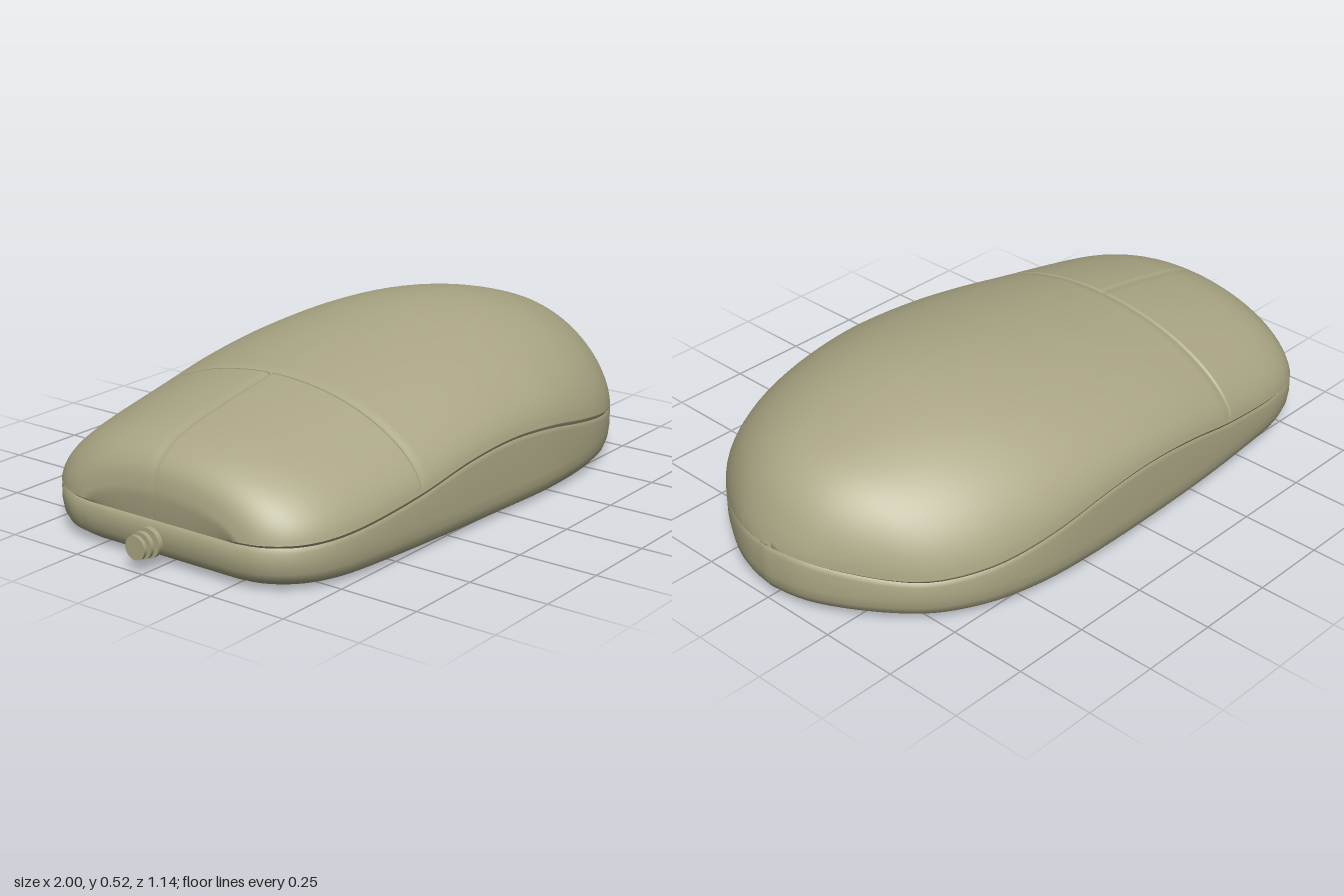
import * as THREE from 'three';
import { mergeVertices } from 'three/addons/utils/BufferGeometryUtils.js';

const FRONT = -0.93, BACK = 1, MID = 0.035, INSET = 0.988;

// Smooth curve through [x, value] pairs
const sample = (pts, n) => new THREE.CatmullRomCurve3(
  pts.map(([x, v]) => new THREE.Vector3(x, v, 0)), false, 'centripetal').getPoints(n);

// Value of a sampled curve at a given x
function lookup(pts) {
  const s = sample(pts, 400);
  return (x) => {
    if (x <= s[0].x) return s[0].y;
    for (let i = 1; i < s.length; i++) {
      if (s[i].x >= x) {
        const t = (x - s[i - 1].x) / Math.max(1e-6, s[i].x - s[i - 1].x);
        return s[i - 1].y + (s[i].y - s[i - 1].y) * t;
      }
    }
    return s[s.length - 1].y;
  };
}

// Skin a grid of rows of [x, y, z] points
function skin(rows) {
  const n = rows[0].length, index = [];
  for (let i = 0; i < rows.length - 1; i++) {
    for (let j = 0; j < n - 1; j++) {
      const a = i * n + j, b = a + 1, c = a + n, d = c + 1;
      index.push(a, b, c, b, d, c);
    }
  }
  let g = new THREE.BufferGeometry();
  g.setAttribute('position', new THREE.Float32BufferAttribute(rows.flat(2), 3));
  g.setIndex(index);
  g = mergeVertices(g, 1e-5);
  g.computeVertexNormals();
  return g;
}

// Plan outline on each side, top profile and height of the seam
const tail = [[0.63, 0.51], [0.77, 0.43], [0.87, 0.32], [0.95, 0.19], [0.985, 0.1], [BACK, 0]];
const leftSide = [[FRONT, 0.27], [-0.915, 0.34], [-0.88, 0.4], [-0.83, 0.445], [-0.74, 0.485],
  [-0.5, 0.52], [0, 0.557], [0.25, 0.568], [0.48, 0.55], ...tail];
const rightSide = [[FRONT, 0.27], [-0.915, 0.35], [-0.88, 0.415], [-0.81, 0.485], [-0.7, 0.525],
  [-0.5, 0.55], [-0.2, 0.57], [0.3, 0.572], [0.48, 0.552], ...tail];
const topProfile = [[FRONT, 0.13], [-0.928, 0.21], [-0.915, 0.275], [-0.88, 0.32], [-0.8, 0.36],
  [-0.6, 0.405], [-0.4, 0.438], [0, 0.496], [0.3, 0.519], [0.5, 0.507], [0.7, 0.463],
  [0.85, 0.405], [0.93, 0.335], [0.98, 0.24], [BACK, 0.175]];
const seamLine = [[FRONT, 0.13], [-0.8, 0.132], [-0.6, 0.147], [-0.4, 0.175], [-0.2, 0.213],
  [0, 0.23], [0.2, 0.218], [0.4, 0.184], [0.6, 0.152], [0.8, 0.14], [0.93, 0.16], [BACK, 0.175]];

const seam = lookup(seamLine);
const inset = (x, z, k) => [MID + (x - MID) * k, z * k];

// Domed upper shell with grooves between palm rest and buttons
function upperShell() {
  const top = lookup(topProfile), wl = lookup(leftSide), wr = lookup(rightSide);
  const xs = [-0.418, -0.408, -0.398];
  const N = 72, M = 26, GX = -0.408, GZ = 0.02;
  for (let i = 0; i <= N; i++) xs.push(MID - (BACK - MID) * Math.cos(Math.PI * i / N));
  xs.sort((a, b) => a - b);
  const rows = xs.map((x, i) => {
    const end = i === 0 || i === xs.length - 1;
    const left = wl(x), right = wr(x), zs = [];
    for (let j = M; j >= 0; j--) {
      zs.push(-Math.min(right, 0.029 + (right - 0.029) * Math.sin(Math.PI / 2 * j / M)));
    }
    zs.push(-Math.min(right, GZ), -Math.min(right, 0.011));
    for (let j = 0; j <= M; j++) zs.push(left * Math.sin(Math.PI / 2 * j / M));
    const row = zs.map((z) => {
      const r = Math.min(1, Math.abs(z) / Math.max(1e-6, z < 0 ? right : left));
      let y = seam(x) + Math.max(0, top(x) - seam(x)) * Math.pow(1 - r * r, 0.57);
      if (!end && r < 0.99) {
        if (Math.abs(x - GX) < 0.002) y -= 0.009;
        else if (x < GX && Math.abs(z + GZ) < 0.002) y -= 0.006;
      }
      const [px, pz] = end ? inset(x, z, INSET) : [x, z];
      return [px, end ? seam(x) : Math.max(y, seam(x) + 0.01), pz];
    });
    // Rim turned in to meet the base
    const rim = (z) => { const [px, pz] = inset(x, z, INSET); return [px, seam(x), pz]; };
    return [rim(-right), ...row, rim(left)];
  });
  return skin(rows);
}

// Lower shell: rings of the plan outline from the underside up to the seam
function lowerShell() {
  const l = sample(leftSide, 70), r = sample(rightSide, 70).reverse();
  const outline = [[FRONT, 0], [FRONT, 0.14], ...l.map((p) => [p.x, p.y]),
    ...r.slice(1).map((p) => [p.x, -p.y]), [FRONT, -0.14], [FRONT, 0]];
  const ring = (k, height) => outline.map(([x, z]) => {
    const [px, pz] = inset(x, z, k);
    return [px, height(x), pz];
  });
  const flat = [[0, 0], [0.6, 0], [0.88, 0.003], [0.925, 0.008], [0.96, 0.016], [0.983, 0.032],
    [0.995, 0.055], [1, 0.085]];
  return skin([
    ...flat.map(([k, y]) => ring(k, () => y)),
    ring(1, (x) => seam(x) - 0.012),
    ring(INSET, seam),
  ]);
}

export function createModel() {
  const model = new THREE.Group();
  model.name = 'computerMouse';
  const plastic = new THREE.MeshStandardMaterial({ color: 0xaaa684 });
  plastic.name = 'beige plastic';

  const add = (geometry, name, parent = model) => {
    const mesh = new THREE.Mesh(geometry, plastic);
    mesh.name = name;
    parent.add(mesh);
    return mesh;
  };
  add(upperShell(), 'upperShell');
  add(lowerShell(), 'lowerShell');

  // Ribbed cable sleeve at the nose
  const cable = new THREE.Group();
  cable.name = 'cableSleeve';
  cable.position.set(0, 0.072, -0.025);
  model.add(cable);
  const disc = (x0, x1, radius, name) => {
    const g = new THREE.CylinderGeometry(radius, radius, x1 - x0, 20).rotateZ(Math.PI / 2);
    add(g, name, cable).position.x = (x0 + x1) / 2;
  };
  disc(-0.998, -0.9, 0.023, 'cableCore');
  [[-1, -0.989, 0.036], [-0.977, -0.964, 0.04], [-0.951, -0.935, 0.045]].forEach(
    ([a, b, r], i) => disc(a, b, r, 'cableRib' + (i + 1)));
  return model;
}
